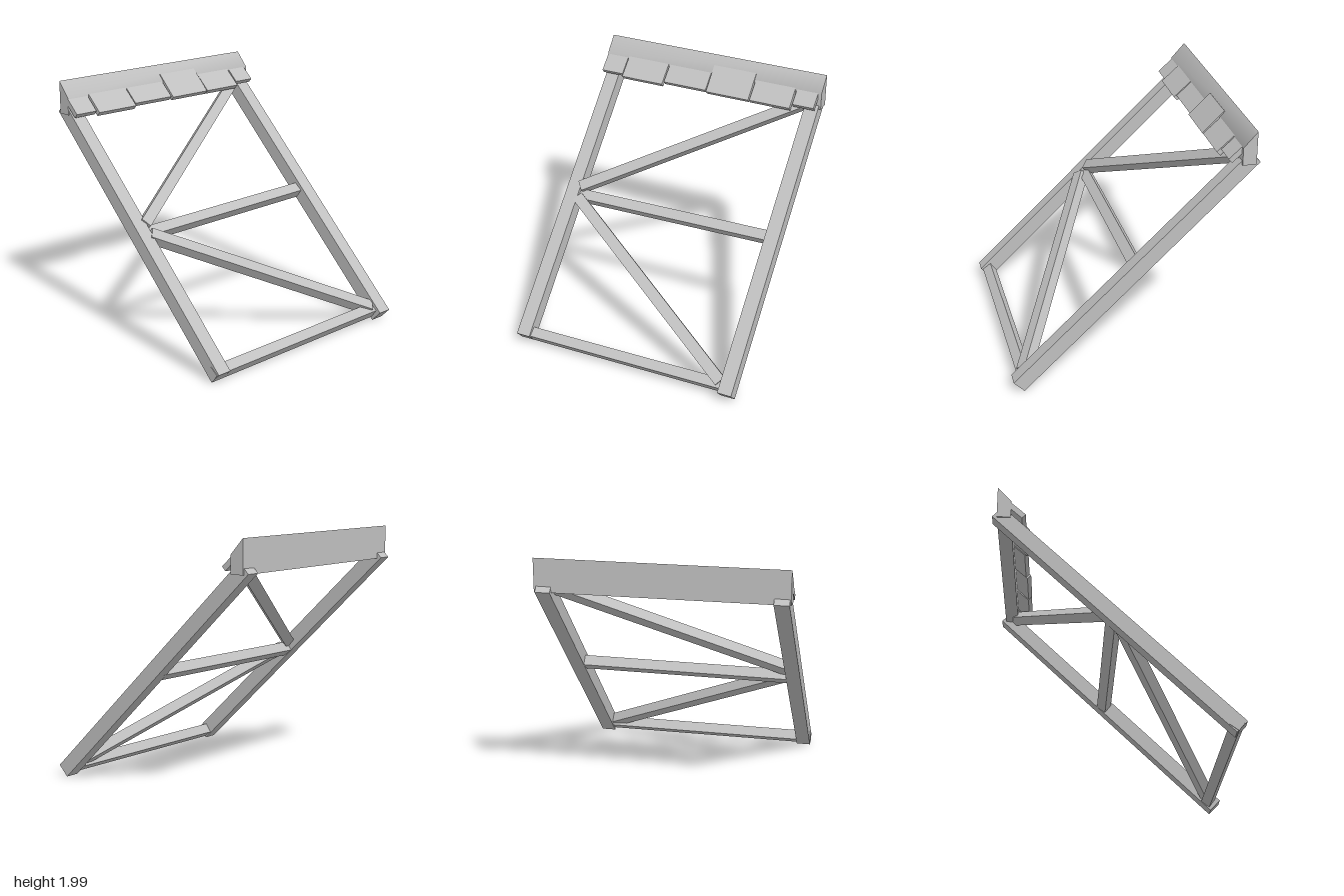
import * as THREE from 'three';
import { toCreasedNormals } from 'three/addons/utils/BufferGeometryUtils.js';

export function createModel() {
  const model = new THREE.Group();
  model.name = 'slopedRoofFrame';
  const greyWood = new THREE.MeshStandardMaterial({ color: 0xc0c0c0 });
  greyWood.name = 'greyWood';

  // Leaning frame: local x across, y up the slope, z out of the slope
  const frame = new THREE.Group();
  frame.name = 'leaningFrame';
  frame.position.set(0, 0.92, 0.002);
  frame.rotation.x = -0.805;
  model.add(frame);

  // Square timber between two points of the frame, rolled about its length
  function timber(name, from, to, width, depth, roll = 0) {
    const a = new THREE.Vector3(...from);
    const b = new THREE.Vector3(...to);
    const along = b.clone().sub(a);
    const geometry = new THREE.BoxGeometry(along.length(), width, depth);
    geometry.rotateX(roll);
    along.normalize();
    const side = new THREE.Vector3(0, 0, 1).cross(along).normalize();
    const out = along.clone().cross(side);
    const mesh = new THREE.Mesh(geometry, greyWood);
    mesh.name = name;
    mesh.quaternion.setFromRotationMatrix(new THREE.Matrix4().makeBasis(along, side, out));
    mesh.position.copy(a).add(b).multiplyScalar(0.5);
    frame.add(mesh);
  }

  // Side rails, slightly out of square
  timber('rightRail', [-0.88, -1.255, 0], [-0.895, 1.255, 0], 0.115, 0.117);
  timber('leftRail', [0.9, -1.255, 0], [0.882, 1.255, 0], 0.115, 0.117);

  // Cross bars
  timber('bottomBar', [-0.943, -1.213, -0.005], [0.86, -1.183, -0.01], 0.083, 0.085, -0.14);
  timber('middleBar', [-0.85, 0.008, -0.012], [0.86, 0.038, -0.012], 0.087, 0.085, -0.12);

  // Diagonal braces
  timber('upperBrace', [-0.835, 0.07, 0.028], [0.85, 1.2, 0.043], 0.087, 0.085, 0.08);
  timber('lowerBrace', [-0.83, -0.025, 0.023], [0.83, -1.165, 0.004], 0.092, 0.085, -0.06);

  // Ridge beam with a bevelled front
  const profile = new THREE.Shape([
    [0.8, 1.74], [0.907, 1.74], [0.907, 2], [0.8, 1.881],
  ].map(([x, y]) => new THREE.Vector2(x, y)));
  const ridge = new THREE.ExtrudeGeometry(profile, { depth: 1.917, bevelEnabled: false });
  ridge.rotateY(Math.PI / 2).translate(-0.961, 0, 0);
  const ridgeBeam = new THREE.Mesh(toCreasedNormals(ridge, 0.95), greyWood);
  ridgeBeam.name = 'ridgeBeam';
  model.add(ridgeBeam);

  // Uneven shingles: left x, right x, edge y, edge z, length, pitch in degrees
  [
    [-0.96, -0.77, 1.765, -0.685, 0.19, 42],
    [-0.76, -0.39, 1.755, -0.66, 0.2, 42],
    [-0.38, -0.003, 1.77, -0.68, 0.18, 42],
    [0.007, 0.38, 1.765, -0.667, 0.24, 44.5],
    [0.39, 0.735, 1.765, -0.67, 0.19, 42],
    [0.748, 0.927, 1.79, -0.7, 0.16, 42],
  ].forEach(([x0, x1, y, z, length, pitch], i) => {
    const t = 0.043;
    const geometry = new THREE.BoxGeometry(x1 - x0, length, t);
    geometry.translate(0, length / 2, -t / 2);
    const shingle = new THREE.Mesh(geometry, greyWood);
    shingle.name = `shingle${i + 1}`;
    shingle.position.set((x0 + x1) / 2, y, z);
    shingle.rotation.x = -THREE.MathUtils.degToRad(90 - pitch);
    model.add(shingle);
  });

  return model;
}
